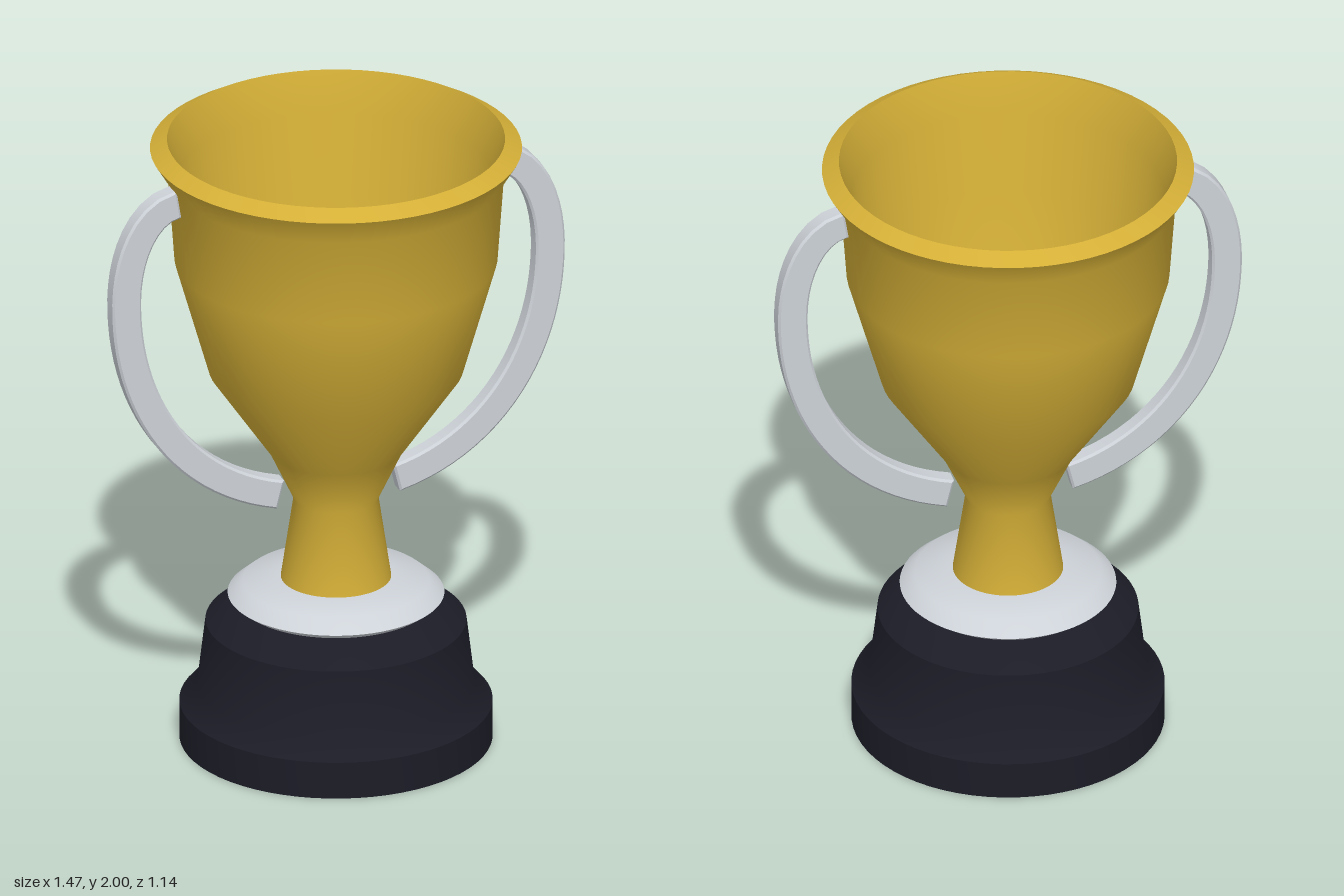
import * as THREE from 'three';
import { toCreasedNormals } from 'three/addons/utils/BufferGeometryUtils.js';

const CREASE = THREE.MathUtils.degToRad(40);
const material = (name, color) => new THREE.MeshStandardMaterial({ name, color });

// Turned part from [radius, height] pairs, listed bottom to top on the outside
function turned(name, profile, mat) {
  const points = profile.map(([r, y]) => new THREE.Vector2(r, y));
  const mesh = new THREE.Mesh(toCreasedNormals(new THREE.LatheGeometry(points, 64), CREASE), mat);
  mesh.name = name;
  return mesh;
}

// Flat curved bar following a path in the xy plane, with slightly bevelled edges
function handleGeometry() {
  const bevel = 0.007, half = 0.047 - bevel, depth = 0.06 - 2 * bevel;
  const v = (x, y) => new THREE.Vector2(x, y);
  const path = new THREE.CurvePath();
  path.add(new THREE.CubicBezierCurve(v(0.525, 1.865), v(0.62, 1.85), v(0.688, 1.72), v(0.688, 1.55)));
  path.add(new THREE.CubicBezierCurve(v(0.688, 1.55), v(0.688, 1.2), v(0.5, 0.92), v(0.195, 0.845)));
  const outer = [], inner = [];
  const steps = 32;
  for (let i = 0; i <= steps; i++) {
    const p = path.getPointAt(i / steps), t = path.getTangentAt(i / steps);
    const n = v(-t.y, t.x).multiplyScalar(half);
    outer.push(p.clone().add(n));
    inner.unshift(p.clone().sub(n));
  }
  const geometry = new THREE.ExtrudeGeometry(new THREE.Shape([...outer, ...inner]), {
    depth, bevelEnabled: true, bevelSize: bevel, bevelThickness: bevel, bevelSegments: 1,
  });
  geometry.translate(0, 0, -depth / 2);
  return toCreasedNormals(geometry, CREASE);
}

export function createModel() {
  const gold = material('gold', 0xd4af37);
  const silver = material('silver', 0xcdd2d8);
  const black = material('black', 0x1c1c27);

  const trophy = new THREE.Group();
  trophy.name = 'trophy';

  // Stepped plinth
  trophy.add(turned('base', [
    [0, 0], [0.48, 0], [0.48, 0.12], [0.425, 0.18], [0.4, 0.39], [0.31, 0.46], [0, 0.46],
  ], black));

  // Disc between plinth and stem
  trophy.add(turned('collar', [
    [0, 0.46], [0.305, 0.46], [0.332, 0.48], [0.285, 0.52], [0.17, 0.535], [0, 0.535],
  ], silver));

  // Stem and bowl in one profile: outside, lip, then hollow inside
  trophy.add(turned('cup', [
    [0.17, 0.53], [0.13, 0.8], [0.205, 0.96], [0.39, 1.23], [0.495, 1.6], [0.515, 1.88],
    [0.57, 1.97], [0.518, 2], [0.48, 1.87], [0.455, 1.6], [0.35, 1.23], [0, 1.12],
  ], gold));

  // Handles, one turned half a circle from the other
  const geometry = handleGeometry();
  for (const [name, angle] of [['leftHandle', 0], ['rightHandle', Math.PI]]) {
    const handle = new THREE.Mesh(geometry, silver);
    handle.name = name;
    handle.rotation.y = angle;
    trophy.add(handle);
  }
  return trophy;
}
